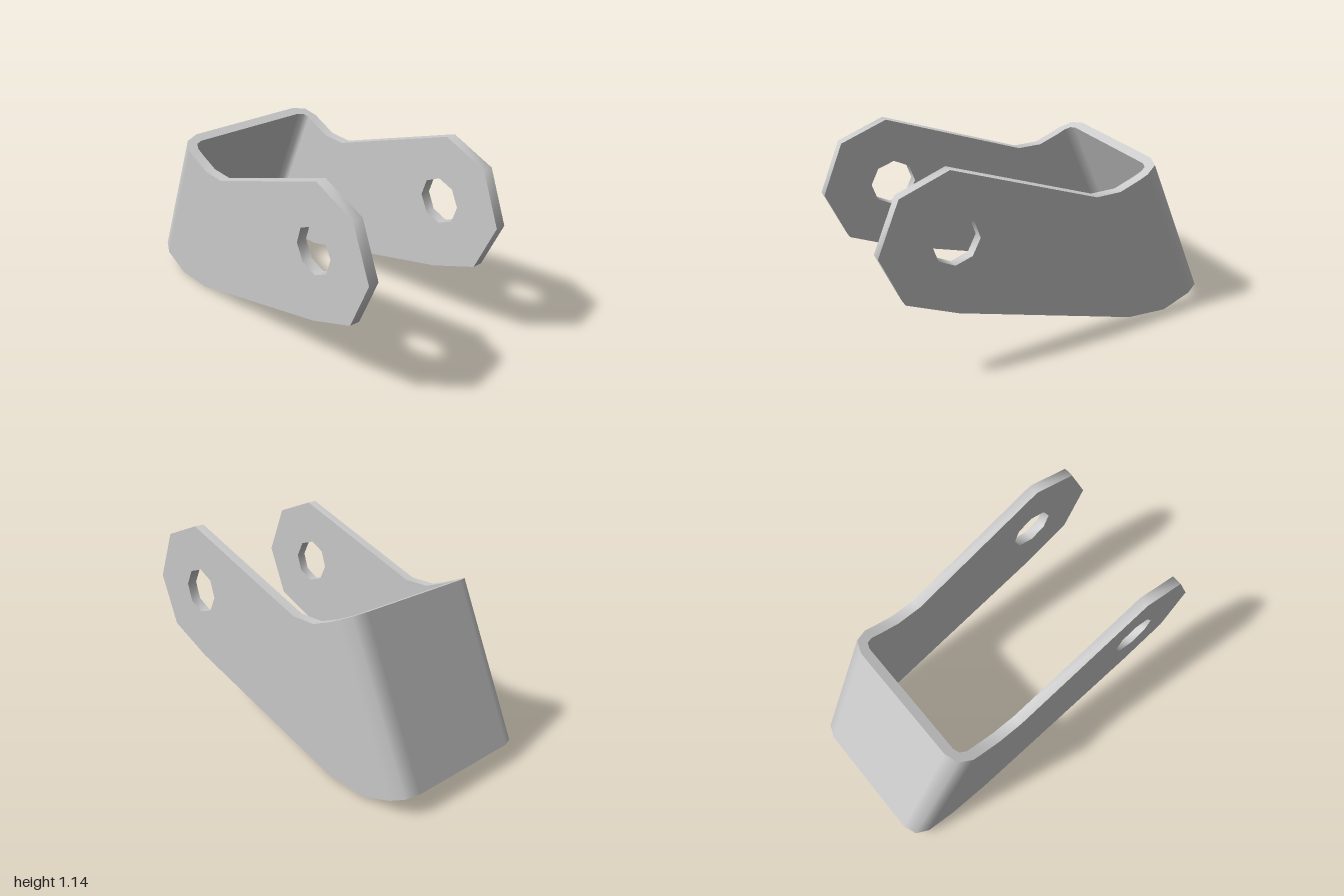
import * as THREE from 'three';
import { toCreasedNormals } from 'three/addons/utils/BufferGeometryUtils.js';

const HALF = 0.457;   // half width over the side plates
const THICK = 0.057;  // sheet thickness
const BEND = 0.107;   // outer bend radius

// Foot and head of the slanted back plate, and the edge directions leaving them
const foot = { x: -1, y: 0.1, dx: 0.942, dy: -0.336 };
const head = { x: -0.63, y: 0.94, dx: 0.916, dy: -0.401 };
const along = (e, u) => [e.x + u * e.dx, e.y + u * e.dy];

// Ribbon of quads between two rows of points
function strip(a, b, normals) {
  const index = [], n = a.length;
  for (let i = 0; i < n - 1; i++) index.push(i, n + i, n + i + 1, i, n + i + 1, i + 1);
  const g = new THREE.BufferGeometry();
  g.setAttribute('position', new THREE.Float32BufferAttribute([...a, ...b].flat(), 3));
  g.setAttribute('normal', new THREE.Float32BufferAttribute([...normals, ...normals].flat(), 3));
  g.setIndex(index);
  return g;
}

// One face of the U-shaped bend: rows at foot and head with radial normals
function bendRows(radius) {
  const rows = { low: [], high: [], normals: [] };
  for (const side of [1, -1]) {
    for (let k = 0; k <= 2; k++) {
      const a = Math.PI / 2 + (side > 0 ? k : 2 - k) * Math.PI / 4;
      const u = BEND + radius * Math.cos(a);
      const z = side * (HALF - BEND + radius * Math.sin(a));
      rows.low.push([...along(foot, u), z]);
      rows.high.push([...along(head, u), z]);
      rows.normals.push([Math.cos(a) * 0.915, -Math.cos(a) * 0.403, side * Math.sin(a)]);
    }
  }
  return rows;
}

export function createModel() {
  const model = new THREE.Group();
  const material = new THREE.MeshStandardMaterial({ color: 0xcccccc });
  const add = (parent, name, geometry) => {
    const mesh = new THREE.Mesh(geometry, material);
    mesh.name = name;
    parent.add(mesh);
    return mesh;
  };

  // Side plates with octagonal pivot holes
  const outline = [
    along(foot, BEND), [-0.72, 0], [-0.47, 0.02], [0.6, 0.36], [0.88, 0.485], [1, 0.765],
    [0.88, 1.045], [0.62, 1.14], [-0.21, 0.83], [-0.36, 0.83], [-0.48, 0.874], along(head, BEND),
  ];
  const plate = new THREE.Shape(outline.map(([x, y]) => new THREE.Vector2(x, y)));
  const hole = [];
  for (let i = 0; i < 8; i++) {
    const a = 0.08 + i * Math.PI / 4;
    hole.push(new THREE.Vector2(0.6 + 0.13 * Math.cos(a), 0.764 + 0.13 * Math.sin(a)));
  }
  plate.holes.push(new THREE.Path(hole));
  const plateGeometry = toCreasedNormals(
    new THREE.ExtrudeGeometry(plate, { depth: THICK, bevelEnabled: false }), 0.9);
  add(model, 'leftRightArmFront', plateGeometry).position.z = HALF - THICK;
  add(model, 'leftRightArmBack', plateGeometry).position.z = -HALF;
  model.children[0].name = 'frontSidePlate';
  model.children[1].name = 'backSidePlate';

  // Slanted back plate with rounded bends joining the side plates
  const back = new THREE.Group();
  back.name = 'bentBackPlate';
  model.add(back);
  const outer = bendRows(BEND), inner = bendRows(BEND - THICK);
  inner.normals = inner.normals.map((n) => n.map((c) => -c));
  const constant = (n) => outer.low.map(() => n);
  add(back, 'outerFace', strip(outer.low, outer.high, outer.normals));
  add(back, 'innerFace', strip(inner.high, inner.low, inner.normals));
  add(back, 'topRim', strip(outer.high, inner.high, constant([0.401, 0.916, 0])));
  add(back, 'bottomRim', strip(inner.low, outer.low, constant([-0.336, -0.942, 0])));

  return model;
}
